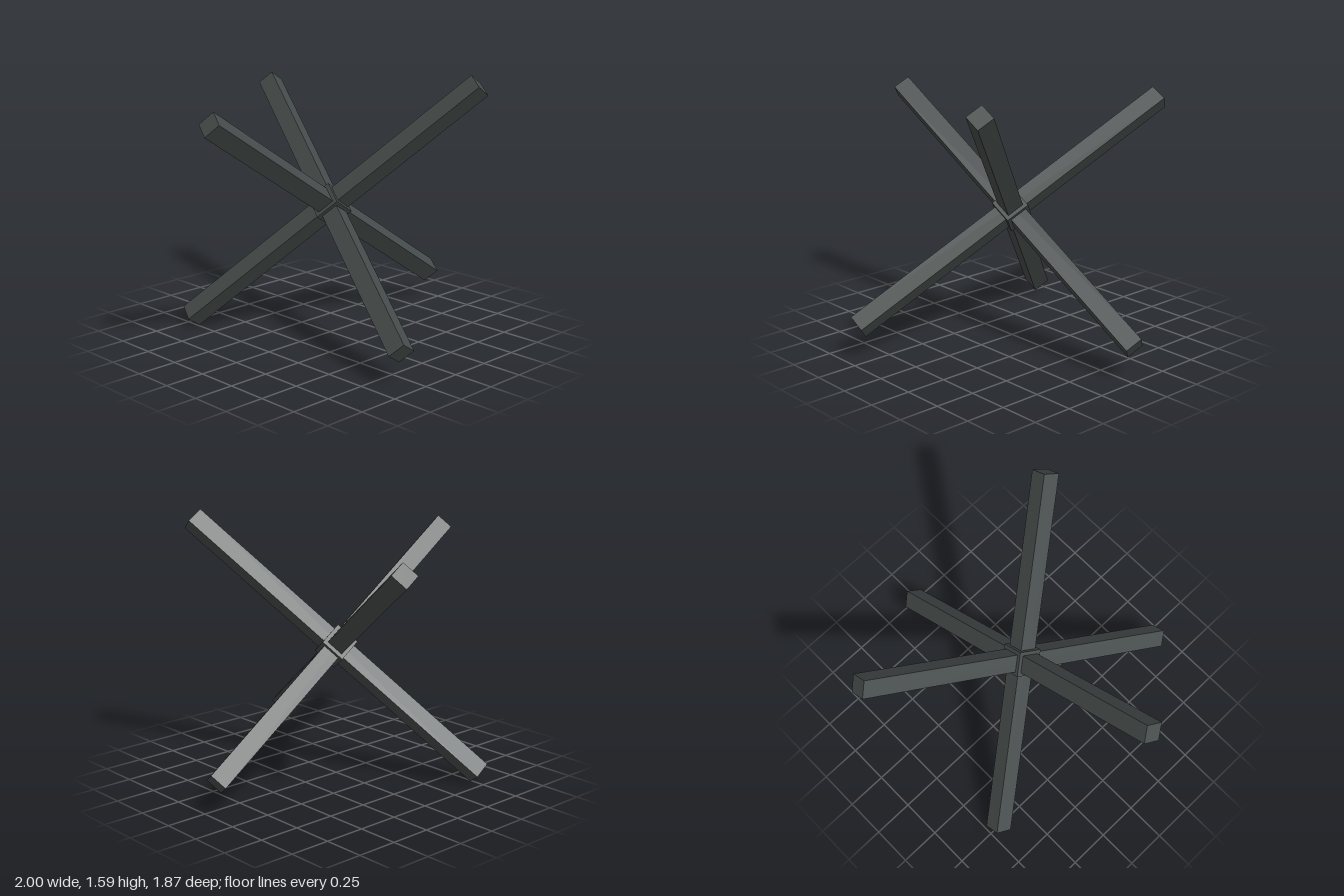
import * as THREE from 'three';

export function createModel() {
  const group = new THREE.Group();
  group.name = 'hedgehogBarrier';
  const steel = new THREE.MeshStandardMaterial({ color: 0x464c4b });
  steel.name = 'dark steel';

  const length = 2.28, width = 0.108, hubSize = 0.154;

  // Three mutually perpendicular beams crossing at the middle
  const barrier = new THREE.Group();
  barrier.name = 'crossedBeams';
  const beams = [
    ['sideBeam', [length, width, width]],
    ['uprightBeam', [width, length, width]],
    ['crossBeam', [width, width, length]],
  ];
  for (const [name, size] of beams) {
    const beam = new THREE.Mesh(new THREE.BoxGeometry(...size), steel);
    beam.name = name;
    barrier.add(beam);
  }

  // Joint block, slightly wider than the beams
  const hub = new THREE.Mesh(new THREE.BoxGeometry(hubSize, hubSize, hubSize), steel);
  hub.name = 'hub';
  barrier.add(hub);

  // Tilt the whole cross so that it rests on its lowest beam end
  const x = new THREE.Vector3(0.84, -0.541, -0.048).normalize();
  const y = new THREE.Vector3(0.459, 0.645, 0.612);
  y.addScaledVector(x, -x.dot(y)).normalize();
  const z = new THREE.Vector3().crossVectors(x, y);
  barrier.quaternion.setFromRotationMatrix(new THREE.Matrix4().makeBasis(x, y, z));
  barrier.position.y = (y.y * length + (Math.abs(x.y) + Math.abs(z.y)) * width) / 2;
  group.add(barrier);
  return group;
}
